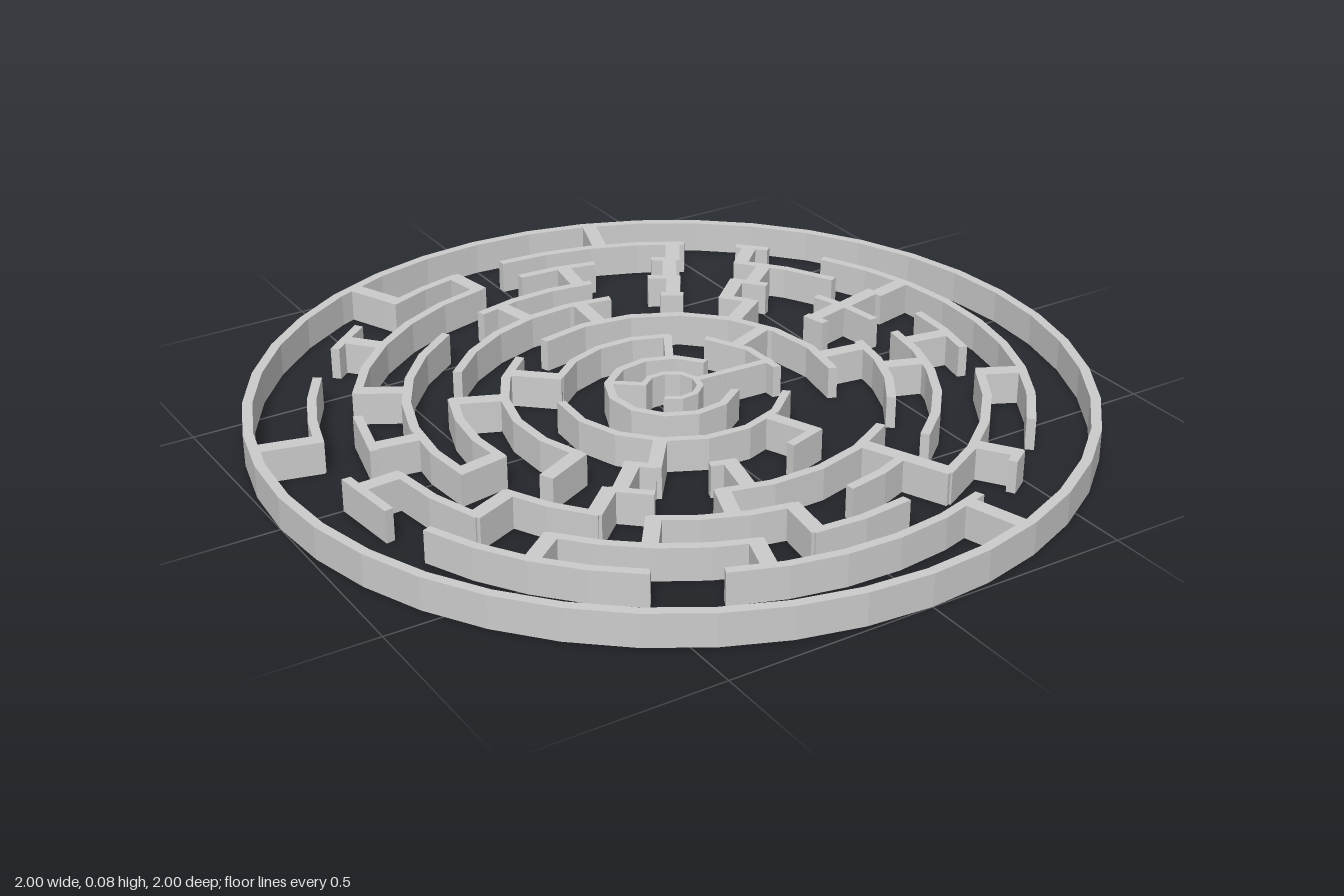
import * as THREE from 'three';

const HEIGHT = 0.08;
const RADII = [0.067, 0.15, 0.27, 0.395, 0.515, 0.622, 0.737, 0.84, 0.988];
const SEGMENTS = [10, 12, 16, 20, 26, 32, 36, 40, 40];
const RING_WIDTH = [0.016, 0.02, 0.02, 0.022, 0.022, 0.022, 0.022, 0.022, 0.024];

// Curved walls per ring: [start, end] in degrees, counter-clockwise from +x seen from above
const ARCS = [
  [[-137, 144]],
  [[25, 320]],
  [[59.5, 139], [166, 322], [-11, 40]],
  [[-19, 110], [125.5, 207], [222, 233], [250, 259], [280, 295]],
  [[75.5, 140], [155.5, 191], [222, 233.7], [249, 305.5], [-39.3, -4.5], [10, 17], [35, 43.5], [54.5, 61]],
  [[77.3, 108], [121, 191.2], [202, 223.5], [233.5, 263], [276, 295], [-55.4, -4], [3.7, 21.6], [34.6, 43.3], [57, 63.5]],
  [[73.7, 90], [99.5, 151], [160, 173.7], [183, 204], [217, 253], [261.5, 281], [-67, -26], [-16, 1], [23.2, 44.5], [56.5, 62]],
  [[55.5, 90], [99.5, 115], [125, 134.4], [145, 167.5], [180, 192], [200, 234.8], [245.2, 290], [-58.5, -54.5], [-44, 29.6], [40, 46]],
];

// Straight walls between ring i and ring i + 1, by angle
const SPOKES = [
  [142, -2.5],
  [60, -2.5],
  [138, 22, 232.3, -67],
  [34.8, 85, 157, 206, 225, 256.8, -7.7],
  [57.4, 42.2, 14.3, 102, 189.6, 222.5, 250, -66.4, -20],
  [58.3, 38.5, 13.8, 80.5, 150, 172, 203.3, 234.2, 262.3, -66.4, -9.2],
  [57.6, 43.5, 12.5, 100, 130.7, 183.7, 217.7, 251.6, -55.5, -26.5],
  [113.7, 71, 166.5, -73.2],
];
const SPOKE_WIDTH = [0.018, 0.02, 0.032, 0.036, 0.036, 0.036, 0.037, 0.037];

const rad = THREE.MathUtils.degToRad;

// Points along an arc, given in degrees
function arcPoints(radius, from, to, count) {
  return Array.from({ length: count + 1 }, (_, i) => {
    const a = rad(from + ((to - from) * i) / count);
    return new THREE.Vector2(Math.cos(a) * radius, Math.sin(a) * radius);
  });
}

// Raise a floor-plan shape to wall height
function raise(shape) {
  return new THREE.ExtrudeGeometry(shape, { depth: HEIGHT, bevelEnabled: false }).rotateX(-Math.PI / 2);
}

export function createModel() {
  const model = new THREE.Group();
  model.name = 'circularMaze';
  const material = new THREE.MeshStandardMaterial({ color: 0xcccccc, flatShading: true });
  const add = (parent, name, geometry) => {
    const mesh = new THREE.Mesh(geometry, material);
    mesh.name = name;
    parent.add(mesh);
    return mesh;
  };

  // Closed outer wall
  const last = RADII.length - 1;
  const half = RING_WIDTH[last] / 2;
  const rim = new THREE.Shape(arcPoints(RADII[last] + half, 0, 360, SEGMENTS[last]).slice(0, -1));
  rim.holes.push(new THREE.Path(arcPoints(RADII[last] - half, 0, 360, SEGMENTS[last]).slice(0, -1)));
  add(model, 'outerWall', raise(rim));

  // Broken inner rings
  ARCS.forEach((arcs, ring) => {
    const group = new THREE.Group();
    group.name = `ring${ring + 1}`;
    model.add(group);
    const h = RING_WIDTH[ring] / 2;
    for (const [from, to] of arcs) {
      const count = Math.max(1, Math.round(((to - from) * SEGMENTS[ring]) / 360));
      const outline = [
        ...arcPoints(RADII[ring] + h, from, to, count),
        ...arcPoints(RADII[ring] - h, from, to, count).reverse(),
      ];
      add(group, 'curvedWall', raise(new THREE.Shape(outline)));
    }
  });

  // Radial walls joining neighbouring rings
  SPOKES.forEach((angles, gap) => {
    const group = new THREE.Group();
    group.name = `radialWalls${gap + 1}`;
    model.add(group);
    const inner = RADII[gap] - 0.008;
    const outer = RADII[gap + 1] + 0.006;
    for (const angle of angles) {
      const box = new THREE.BoxGeometry(outer - inner, HEIGHT, SPOKE_WIDTH[gap]);
      box.translate((inner + outer) / 2, HEIGHT / 2, 0);
      add(group, 'radialWall', box).rotation.y = rad(angle);
    }
  });

  return model;
}
